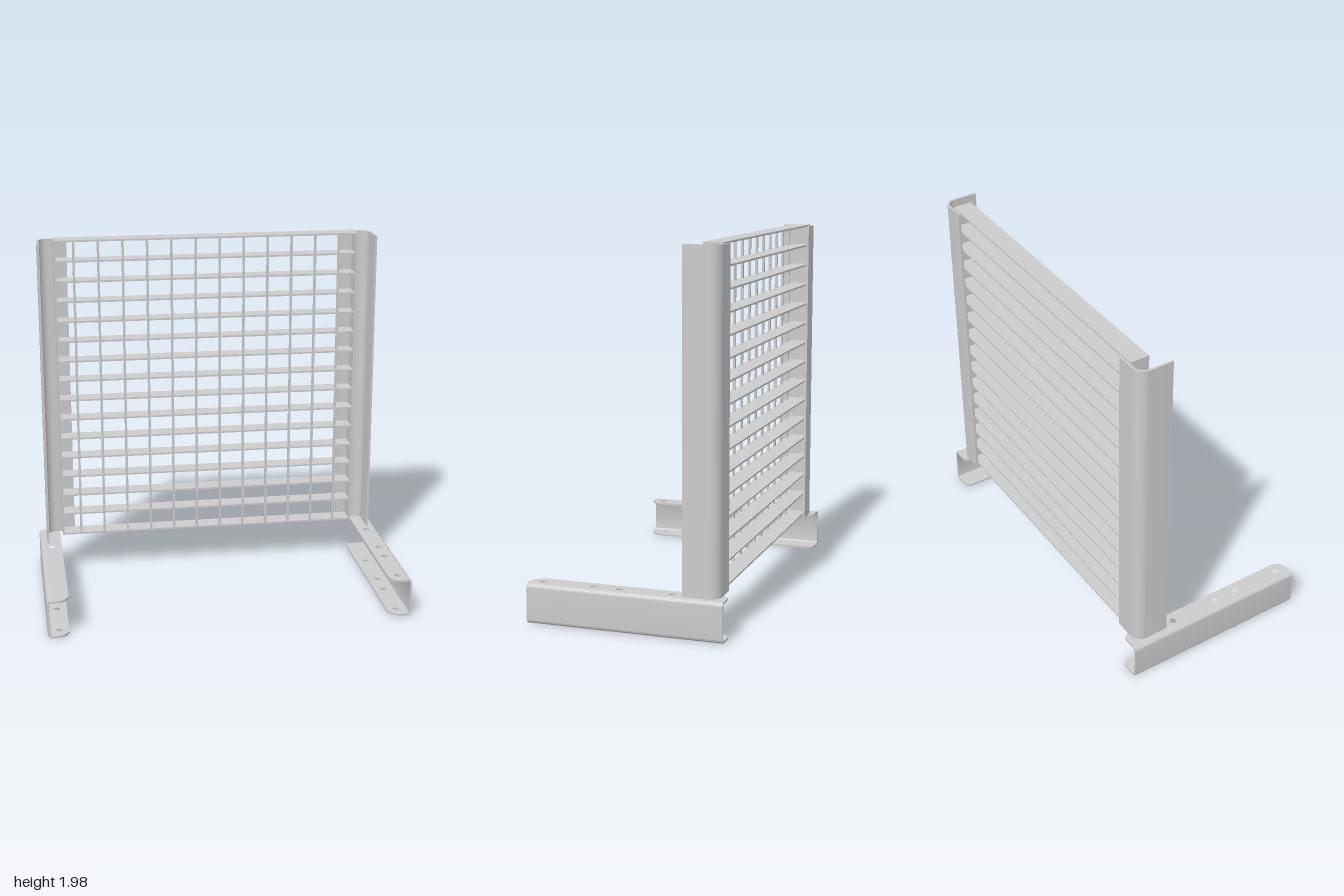
import * as THREE from 'three';
import { toCreasedNormals } from 'three/addons/utils/BufferGeometryUtils.js';

const K = 0.5523; // handle length of a quarter-circle bezier

export function createModel() {
  const model = new THREE.Group();
  model.name = 'meshScreenStand';
  const material = new THREE.MeshStandardMaterial({ color: 0xcccccc });

  const add = (parent, name, geometry) => {
    const mesh = new THREE.Mesh(geometry, material);
    mesh.name = name;
    parent.add(mesh);
    return mesh;
  };

  const group = (name) => {
    const g = new THREE.Group();
    g.name = name;
    model.add(g);
    return g;
  };

  // Outline through corner points [x, y, radius]; side = -1 mirrors it in x
  const outline = (points, side) => {
    const shape = new THREE.Shape();
    const n = points.length;
    points.forEach(([x, y, r = 0], i) => {
      const corner = new THREE.Vector2(x * side, y);
      const toward = (j) => new THREE.Vector2(points[j][0] * side, points[j][1]).sub(corner).normalize();
      const a = toward((i + n - 1) % n);
      const b = toward((i + 1) % n);
      const at = (dir, d) => corner.clone().addScaledVector(dir, d);
      const start = at(a, r);
      if (i === 0) shape.moveTo(start.x, start.y);
      else shape.lineTo(start.x, start.y);
      if (r > 0) {
        const c1 = at(a, r * (1 - K)), c2 = at(b, r * (1 - K)), end = at(b, r);
        shape.bezierCurveTo(c1.x, c1.y, c2.x, c2.y, end.x, end.y);
      }
    });
    return shape;
  };

  const extrude = (shape, depth) => toCreasedNormals(
    new THREE.ExtrudeGeometry(shape, { depth, bevelEnabled: false, curveSegments: 10 }), 0.6);

  // Extrude upward from y0; the shape's y axis is -z
  const extrudeUp = (shape, y0, y1) =>
    extrude(shape, y1 - y0).rotateX(-Math.PI / 2).translate(0, y0, 0);

  const railTop = 0.213, sheet = 0.011;
  for (const side of [1, -1]) {
    const label = side > 0 ? 'left' : 'right';

    // Base rail: C channel open to the inside
    const rail = group(label + 'BaseRail');
    const seam = 0.975, r = 0.022, ri = r - sheet;
    const web = outline([
      [seam, 0], [1, 0, r], [1, railTop, r], [seam, railTop],
      [seam, railTop - sheet], [1 - sheet, railTop - sheet, ri],
      [1 - sheet, sheet, ri], [seam, sheet],
    ], side);
    add(rail, 'railWeb', extrude(web, 1.06).translate(0, 0, -0.53));

    // Flanges with rounded inner corners and four bolt holes
    const flange = outline([
      [seam, -0.53], [seam, 0.53], [0.88, 0.53, 0.035], [0.88, -0.53, 0.07],
    ], side);
    for (const z of [-0.245, 0.035, 0.178, 0.457]) {
      const hole = new THREE.Path();
      hole.absarc(side * 0.936, -z, 0.018, 0, Math.PI * 2, true);
      flange.holes.push(hole);
    }
    add(rail, 'lowerFlange', extrudeUp(flange, 0, sheet));
    add(rail, 'upperFlange', extrudeUp(flange, railTop - sheet, railTop));

    // Upright: bent angle with a rounded outer back corner
    const t = 0.012;
    const angle = outline([
      [0.96, 0.305], [0.96, 0.498, 0.06], [0.79, 0.498], [0.79, 0.498 - t],
      [0.96 - t, 0.498 - t, 0.06 - t], [0.96 - t, 0.305],
    ], side);
    add(model, label + 'Post', extrudeUp(angle, railTop, 1.971));
  }

  // Grating
  const grating = group('grating');
  const back = -0.485, front = -0.38, bottom = 0.23, top = 1.978;
  const depth = front - back, midZ = (front + back) / 2, midY = (bottom + top) / 2;

  // Flat bars across, with the lowest one set slightly apart
  const barGeometry = new THREE.BoxGeometry(1.73, 0.01, depth);
  for (let i = 0; i < 16; i++) {
    const y = i === 0 ? 0.235 : 1.973 - (15 - i) * 0.1152;
    add(grating, 'flatBar', barGeometry).position.set(0, y, midZ);
  }

  // Thin rods let into the front edge
  const rodGeometry = new THREE.BoxGeometry(0.013, top - bottom, 0.013);
  for (let i = 0; i < 12; i++) {
    add(grating, 'rod', rodGeometry).position.set((i - 5.5) * 0.1376, midY, front - 0.0065);
  }

  // Full-depth end plates
  const endGeometry = new THREE.BoxGeometry(0.01, top - bottom, depth);
  for (const side of [1, -1]) {
    add(grating, 'endPlate', endGeometry).position.set(side * 0.861, midY, midZ);
  }

  return model;
}
